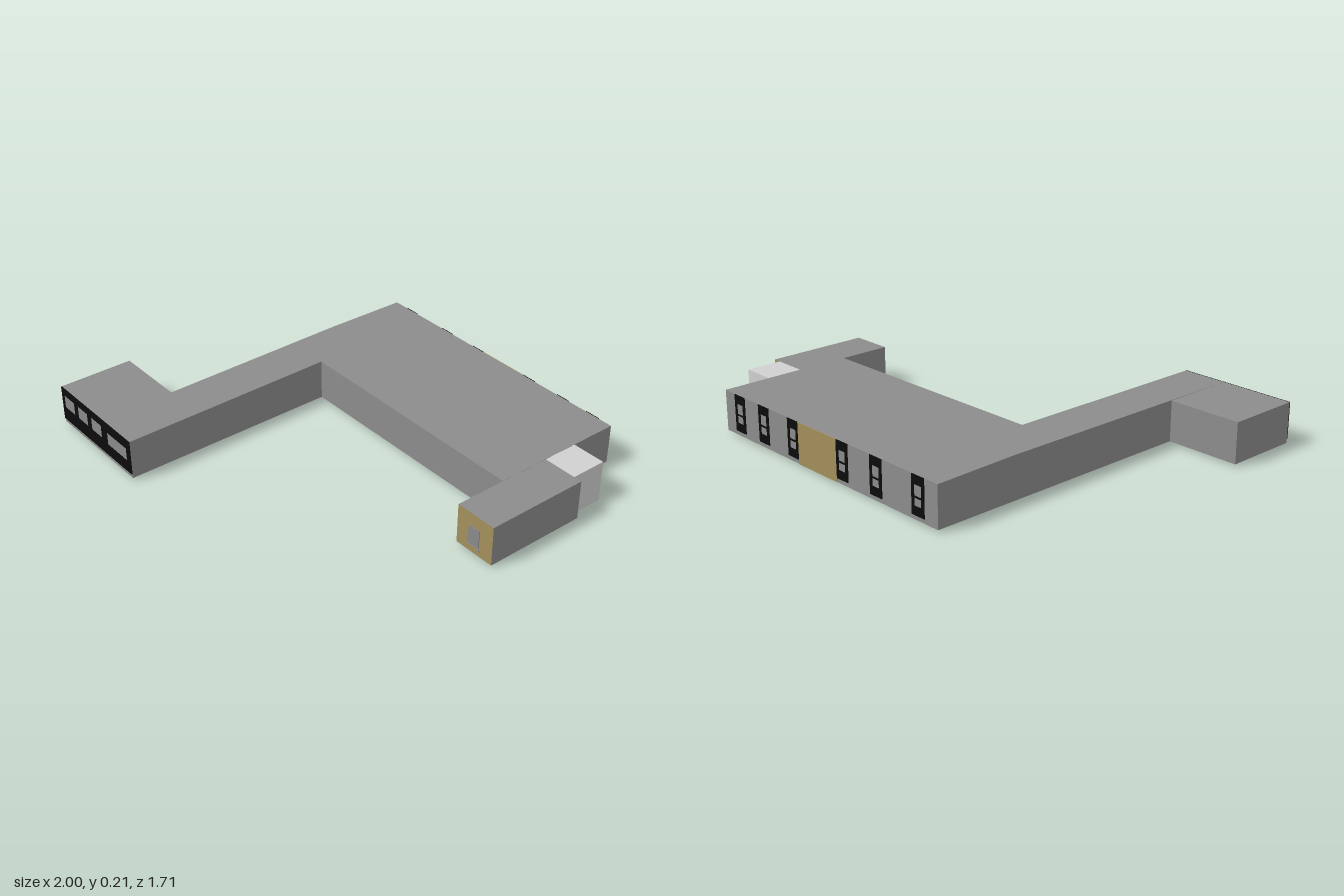
import * as THREE from 'three';

const mat = (name, color) => {
  const m = new THREE.MeshStandardMaterial({ color });
  m.name = name;
  return m;
};

export function createModel() {
  const grey = mat('grey wall', 0x8c8c8c);
  const pale = mat('pale annex', 0xd0d0d0);
  const tan = mat('tan', 0xa38f5a);
  const blue = mat('blue floor', 0x7b8ebf);
  const black = mat('black frame', 0x0c0c0c);
  const glass = mat('window grey', 0x8a8a8a);
  const model = new THREE.Group();
  model.name = 'building';

  const BASE = 0.01, TOP = 0.2;
  const clamp = (v) => Math.min(1, Math.max(0, v));

  // Slight rise of the roof towards the corner where the corridors meet
  const roofY = (x, z) => TOP + 0.007 * clamp((1 - x) / 1.5)
    * clamp(z > -0.45 ? (0.85 - z) / 1.3 : (z + 0.855) / 0.405);

  // Room block; materials may be listed as +x, -x, top, bottom, front, back
  function block(name, x0, x1, z0, z1, material, y0 = BASE, sloped = true) {
    const g = new THREE.BoxGeometry(x1 - x0, TOP - y0, z1 - z0);
    g.translate((x0 + x1) / 2, (TOP + y0) / 2, (z0 + z1) / 2);
    const p = g.attributes.position;
    if (sloped) {
      for (let i = 0; i < p.count; i++) {
        if (p.getY(i) > TOP - 0.001) p.setY(i, roofY(p.getX(i), p.getZ(i)));
      }
      g.computeVertexNormals();
    }
    const mesh = new THREE.Mesh(g, material);
    mesh.name = name;
    model.add(mesh);
  }
  const withFloor = (floor) => [grey, grey, grey, floor, grey, grey];

  block('mainHall', -0.64, 0.795, -0.855, -0.45, withFloor(tan));
  block('mainCorridor', -0.64, 0.795, -0.45, -0.2, grey);
  block('longCorridor', -0.64, -0.42, -0.2, 0.85, grey);
  block('frontRoom', -1, -0.64, 0.49, 0.85, withFloor(blue), BASE, false);
  block('sideWing', 0.795, 1, -0.45, 0.05, [grey, grey, grey, grey, tan, tan], BASE, false);
  block('annex', 0.795, 0.96, -0.625, -0.4505, pale, 0, false);

  // Thin upright plate with window openings, each given as [x0, x1, y0, y1]
  function plate(name, [x0, x1, y0, y1], z, depth, material, holes = []) {
    const rect = (C, a, b, c, d) => {
      const s = new C();
      s.moveTo(a, c); s.lineTo(b, c); s.lineTo(b, d); s.lineTo(a, d); s.closePath();
      return s;
    };
    const shape = rect(THREE.Shape, x0, x1, y0, y1);
    for (const h of holes) shape.holes.push(rect(THREE.Path, ...h));
    const g = new THREE.ExtrudeGeometry(shape, { depth, bevelEnabled: false });
    const mesh = new THREE.Mesh(g, material);
    mesh.name = name;
    mesh.position.z = z;
    model.add(mesh);
  }

  // Front facade with four windows
  const windows = [
    [-0.98, -0.892, 0.098, 0.163], [-0.862, -0.777, 0.098, 0.163],
    [-0.745, -0.658, 0.098, 0.163], [-0.61, -0.45, 0.088, 0.152],
  ];
  plate('frontFacade', [-1, -0.42, 0.03, TOP], 0.85, 0.004, black, windows);
  windows.forEach((w) => plate('frontWindow', w, 0.85, 0.002, glass));

  // Doorway and its sill on the side wing
  plate('wingDoor', [0.862, 0.925, 0.05, 0.138], 0.05, 0.003, glass);
  plate('wingSillEdge', [0.855, 0.931, 0.033, 0.048], 0.05, 0.002, glass);
  plate('wingSill', [0.861, 0.925, 0.037, 0.044], 0.05, 0.004, tan);

  // Back wall: tan centre panel between window strips
  plate('backPanel', [-0.012, 0.252, BASE, TOP], -0.858, 0.003, tan);
  for (const x of [0.683, 0.503, 0.288, -0.05, -0.268, -0.526]) {
    const upper = [x - 0.021, x + 0.021, 0.112, 0.16];
    const lower = [x - 0.021, x + 0.021, 0.07, 0.104];
    plate('backWindowFrame', [x - 0.037, x + 0.037, 0.03, TOP], -0.859, 0.004, black, [upper, lower]);
    plate('backWindowUpper', upper, -0.857, 0.002, glass);
    plate('backWindowLower', lower, -0.857, 0.002, glass);
  }

  return model;
}
